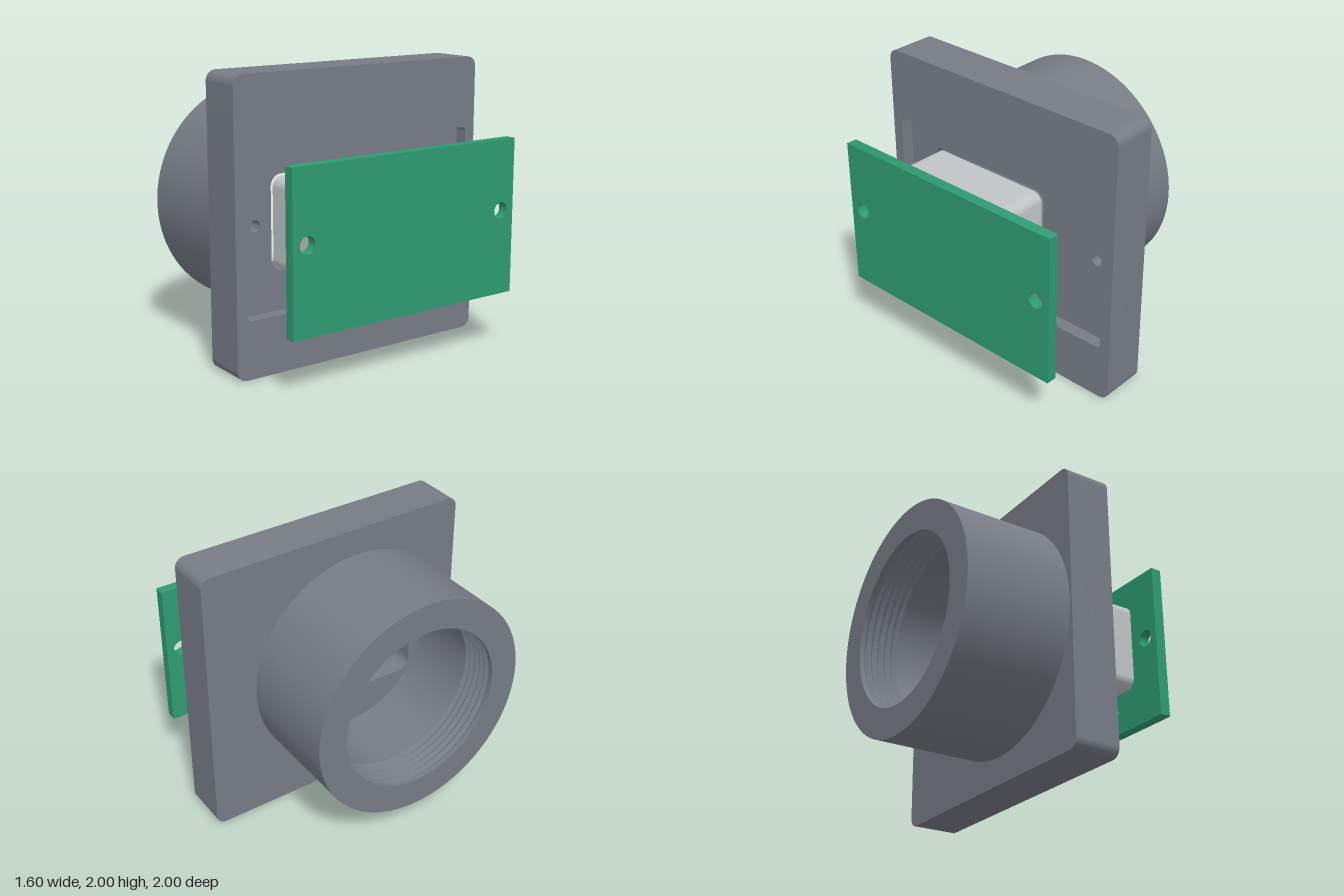
import * as THREE from 'three';
import { toCreasedNormals } from 'three/addons/utils/BufferGeometryUtils.js';

const AXIS_Z = 0.17; // z of the barrel, window and sensor block
const MID_Y = 1;

// Rounded rectangle; u runs along -z, v along y
function roundedRect(z, y, w, h, r, Type = THREE.Shape) {
  const s = new Type();
  const a = w / 2 - r, b = h / 2 - r, u = -z;
  s.absarc(u + a, y + b, r, 0, Math.PI / 2);
  s.absarc(u - a, y + b, r, Math.PI / 2, Math.PI);
  s.absarc(u - a, y - b, r, Math.PI, Math.PI * 1.5);
  s.absarc(u + a, y - b, r, Math.PI * 1.5, Math.PI * 2);
  s.closePath();
  return s;
}

function circleHole(z, y, r) {
  const p = new THREE.Path();
  p.absarc(-z, y, r, 0, Math.PI * 2);
  return p;
}

// Extrude a z-y outline along x, from x0 to x1
function slab(name, outline, holes, x0, x1, material) {
  outline.holes.push(...holes);
  const geo = new THREE.ExtrudeGeometry(outline, { depth: x1 - x0, bevelEnabled: false, curveSegments: 24 });
  geo.rotateY(Math.PI / 2);
  geo.translate(x0, 0, 0);
  const mesh = new THREE.Mesh(toCreasedNormals(geo, 0.5), material);
  mesh.name = name;
  return mesh;
}

export function createModel() {
  const housingGray = new THREE.MeshStandardMaterial({ color: 0x777c85 });
  housingGray.name = 'housingGray';
  const boardGreen = new THREE.MeshStandardMaterial({ color: 0x2e9b72 });
  boardGreen.name = 'boardGreen';
  const sensorGray = new THREE.MeshStandardMaterial({ color: 0xc0c4c6 });
  sensorGray.name = 'sensorGray';

  const model = new THREE.Group();
  model.name = 'sensorHousing';

  // Square flange in layers: bore end, wall, pocketed floor, board recess
  const flange = new THREE.Group();
  flange.name = 'flange';
  const outline = () => roundedRect(0, MID_Y, 2, 2, 0.07);
  const window_ = () => roundedRect(AXIS_Z, MID_Y, 1.01, 0.65, 0.08, THREE.Path);
  const pinSlot = roundedRect(AXIS_Z, 0.56, 0.76, 0.14, 0.069, THREE.Path);
  const screwHoles = [-0.8, 0.8].map((z) => circleHole(z, MID_Y, 0.04));
  const recess = roundedRect(0, 0.95, 1.84, 1.1, 0.03, THREE.Path);
  flange.add(
    slab('flangeBack', outline(), [circleHole(AXIS_Z, MID_Y, 0.6)], -0.04, 0, housingGray),
    slab('flangeWall', outline(), [window_()], 0, 0.1, housingGray),
    slab('recessFloor', outline(), [window_(), pinSlot, ...screwHoles], 0.1, 0.2, housingGray),
    slab('recessRim', outline(), [recess], 0.2, 0.29, housingGray),
  );
  model.add(flange);

  // Hollow barrel with thread grooves inside its mouth
  const profile = [[0.6, -0.8], [0.81, -0.8], [0.81, -0.04], [0.6, -0.04]];
  const pitch = 0.05;
  for (let i = 0; i < 5; i++) {
    const x = -0.52 - i * pitch;
    profile.push([0.6, x], [0.622, x - pitch * 0.4], [0.622, x - pitch * 0.5], [0.6, x - pitch * 0.9]);
  }
  profile.push([0.6, -0.8]);
  const barrelGeo = new THREE.LatheGeometry(profile.map(([r, x]) => new THREE.Vector2(r, x)), 96);
  barrelGeo.rotateZ(-Math.PI / 2);
  barrelGeo.translate(0, MID_Y, AXIS_Z);
  const barrel = new THREE.Mesh(toCreasedNormals(barrelGeo, 0.5), housingGray);
  barrel.name = 'threadedBarrel';
  model.add(barrel);

  // Circuit board with two screw holes
  const boardHoles = [-0.8, 0.8].map((z) => circleHole(z, MID_Y, 0.058));
  model.add(slab('circuitBoard', roundedRect(0, 0.95, 1.82, 1.085, 0.004), boardHoles, 0.725, 0.8, boardGreen));

  // Sensor block on the board
  model.add(slab('sensorBlock', roundedRect(AXIS_Z, MID_Y, 0.98, 0.62, 0.07), [], 0.2, 0.725, sensorGray));

  // Row of solder pins facing the slot
  const pins = new THREE.Group();
  pins.name = 'solderPins';
  const pinGeo = new THREE.CylinderGeometry(0.022, 0.022, 0.075, 20);
  pinGeo.rotateZ(Math.PI / 2);
  for (let i = 0; i < 6; i++) {
    const pin = new THREE.Mesh(pinGeo, sensorGray);
    pin.name = 'pin';
    pin.position.set(0.688, 0.56, AXIS_Z + (i - 2.5) * 0.115);
    pins.add(pin);
  }
  model.add(pins);
  return model;
}
